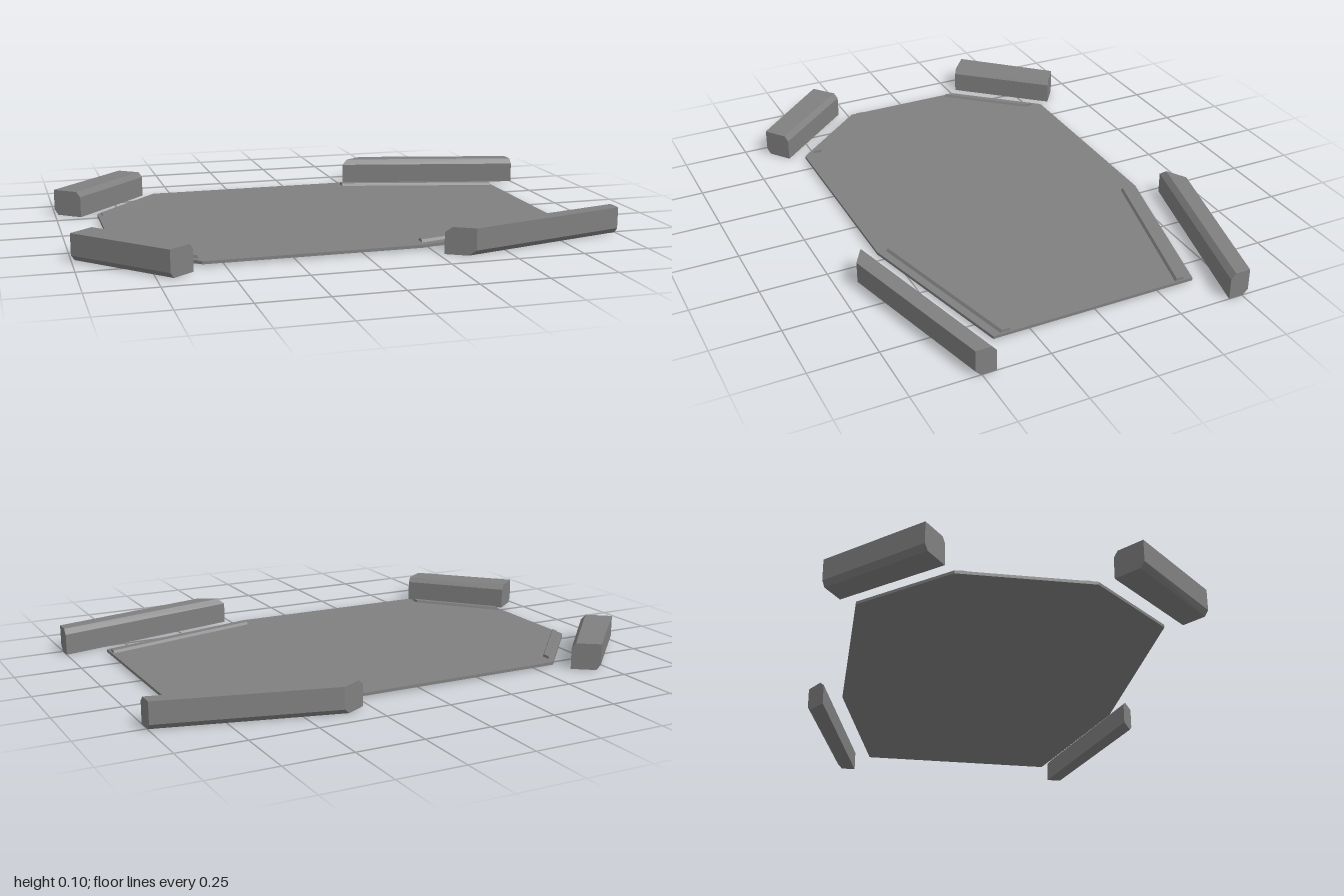
import * as THREE from 'three';
import { ConvexGeometry } from 'three/addons/geometries/ConvexGeometry.js';

const material = new THREE.MeshStandardMaterial({ color: 0x808080, flatShading: true });

// Straight prism over a plan [innerA, innerB, outerA, outerB] of [x, z] points.
// The section lists [t, y], with t running from the inner edge (0) to the outer edge (1).
// side mirrors the part in z.
function prism(name, [innerA, innerB, outerA, outerB], section, side) {
  const points = [];
  for (const [inner, outer] of [[innerA, outerA], [innerB, outerB]]) {
    for (const [t, y] of section) {
      points.push(new THREE.Vector3(
        THREE.MathUtils.lerp(inner[0], outer[0], t),
        y,
        side * THREE.MathUtils.lerp(inner[1], outer[1], t)
      ));
    }
  }
  const mesh = new THREE.Mesh(new ConvexGeometry(points), material);
  mesh.name = name;
  return mesh;
}

// Bar section: bevelled along the top inner and bottom outer edges
const barSection = (c) => [[0, 0], [0, 0.08], [c, 0.1], [1, 0.1], [1, 0.02], [1 - c, 0]];
// Low rib with sloping sides
const ribSection = [[0, 0.015], [0.2, 0.028], [0.8, 0.028], [1, 0.015]];

export function createModel() {
  const model = new THREE.Group();
  model.name = 'floorWithBarriers';

  // Thin eight-sided floor plate
  const half = [[-0.845, 0.243], [-0.577, 0.547], [0.22, 0.547], [0.857, 0.39]];
  const outline = [...half, ...half.map(([x, z]) => [x, -z]).reverse()];
  const plate = new THREE.ExtrudeGeometry(
    new THREE.Shape(outline.map(([x, z]) => new THREE.Vector2(x, -z))),
    { depth: 0.011, bevelEnabled: false }
  );
  plate.rotateX(-Math.PI / 2).translate(0, 0.007, 0);
  const floor = new THREE.Mesh(plate, material);
  floor.name = 'floorPlate';
  model.add(floor);

  // Barriers and ribs beside the four slanted edges
  for (const side of [1, -1]) {
    const end = side > 0 ? 'Front' : 'Back';
    model.add(
      prism('longBarrier' + end,
        [[0.272, 0.623], [1, 0.447], [0.37, 0.68], [1, 0.523]], barSection(0.24), side),
      prism('shortBarrier' + end,
        [[-0.905, 0.282], [-0.617, 0.603], [-1, 0.358], [-0.705, 0.668]], barSection(0.14), side),
      prism('longRib' + end,
        [[0.228, 0.475], [0.85, 0.32], [0.228, 0.517], [0.85, 0.363]], ribSection, side),
      prism('shortRib' + end,
        [[-0.83, 0.19], [-0.585, 0.468], [-0.83, 0.234], [-0.585, 0.512]], ribSection, side)
    );
  }
  return model;
}
